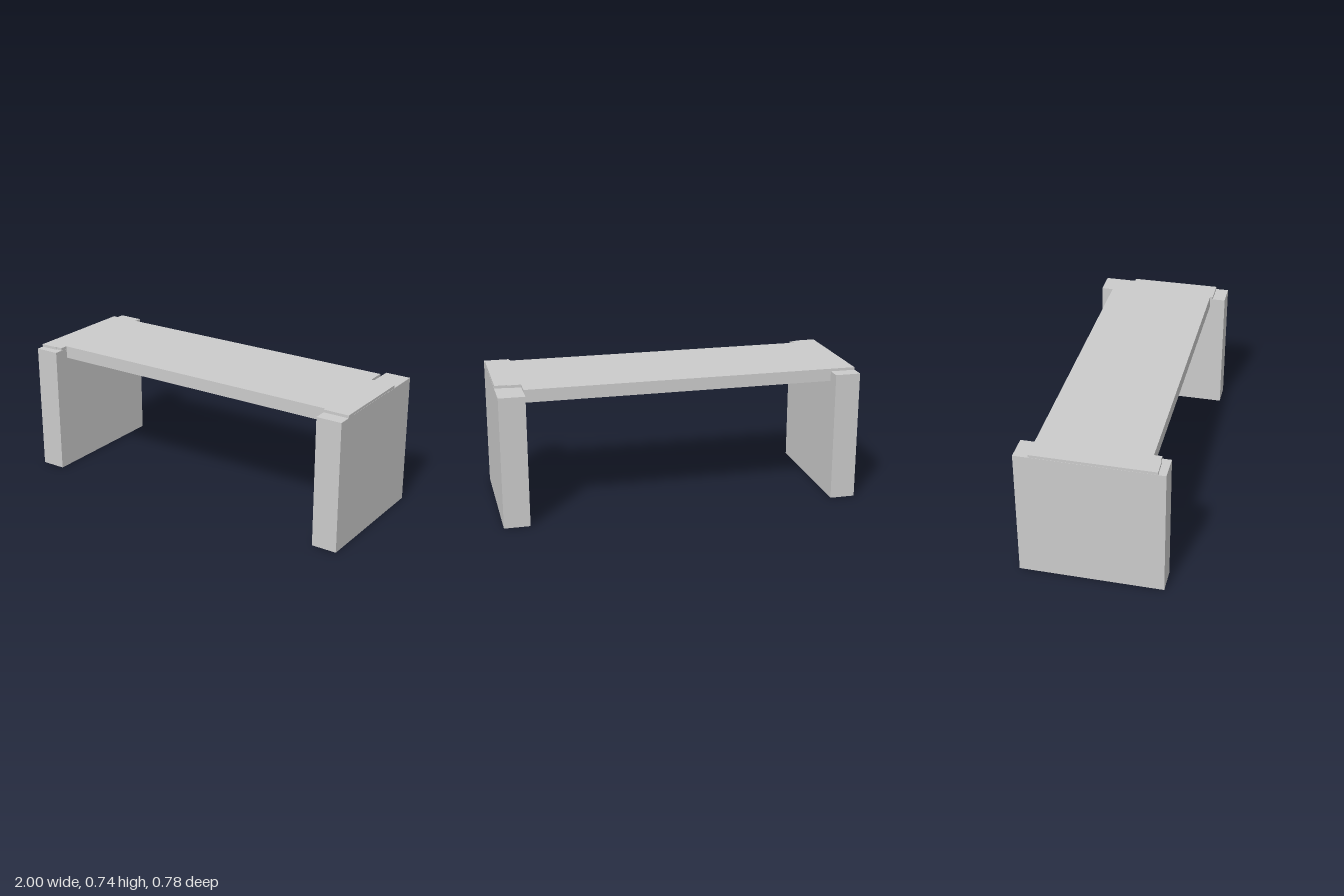
import * as THREE from 'three';

const material = new THREE.MeshStandardMaterial({ color: 0xcccccc, flatShading: true });

// Upright prism from an [x, z] outline, spanning bottom to top
function prism(name, outline, bottom, top) {
  const shape = new THREE.Shape(outline.map(([x, z]) => new THREE.Vector2(x, -z)));
  const geometry = new THREE.ExtrudeGeometry(shape, { depth: top - bottom, bevelEnabled: false });
  geometry.rotateX(-Math.PI / 2);
  geometry.translate(0, bottom, 0);
  const mesh = new THREE.Mesh(geometry, material);
  mesh.name = name;
  return mesh;
}

export function createModel() {
  const group = new THREE.Group();
  group.name = 'bench';

  // Slab legs, each set very slightly askew
  group.add(prism('rightLeg', [[-1, 0.386], [-0.86, 0.386], [-0.854, -0.391], [-0.995, -0.391]], 0, 0.725));
  group.add(prism('leftLeg', [[0.855, 0.386], [0.997, 0.386], [1, -0.383], [0.857, -0.383]], 0, 0.725));

  // Seat plank let into the legs, its ends standing just proud of them
  group.add(prism('seat', [
    [-0.999, 0.345], [-0.9, 0.343], [-0.898, 0.338], [-0.86, 0.338], [-0.86, 0.296],
    [0.855, 0.296], [0.855, 0.312], [0.997, 0.312], [0.998, -0.198],
    [0.93, -0.198], [0.928, -0.205], [0.857, -0.205], [0.857, -0.31], [-0.994, -0.31],
  ], 0.67, 0.74));

  return group;
}
